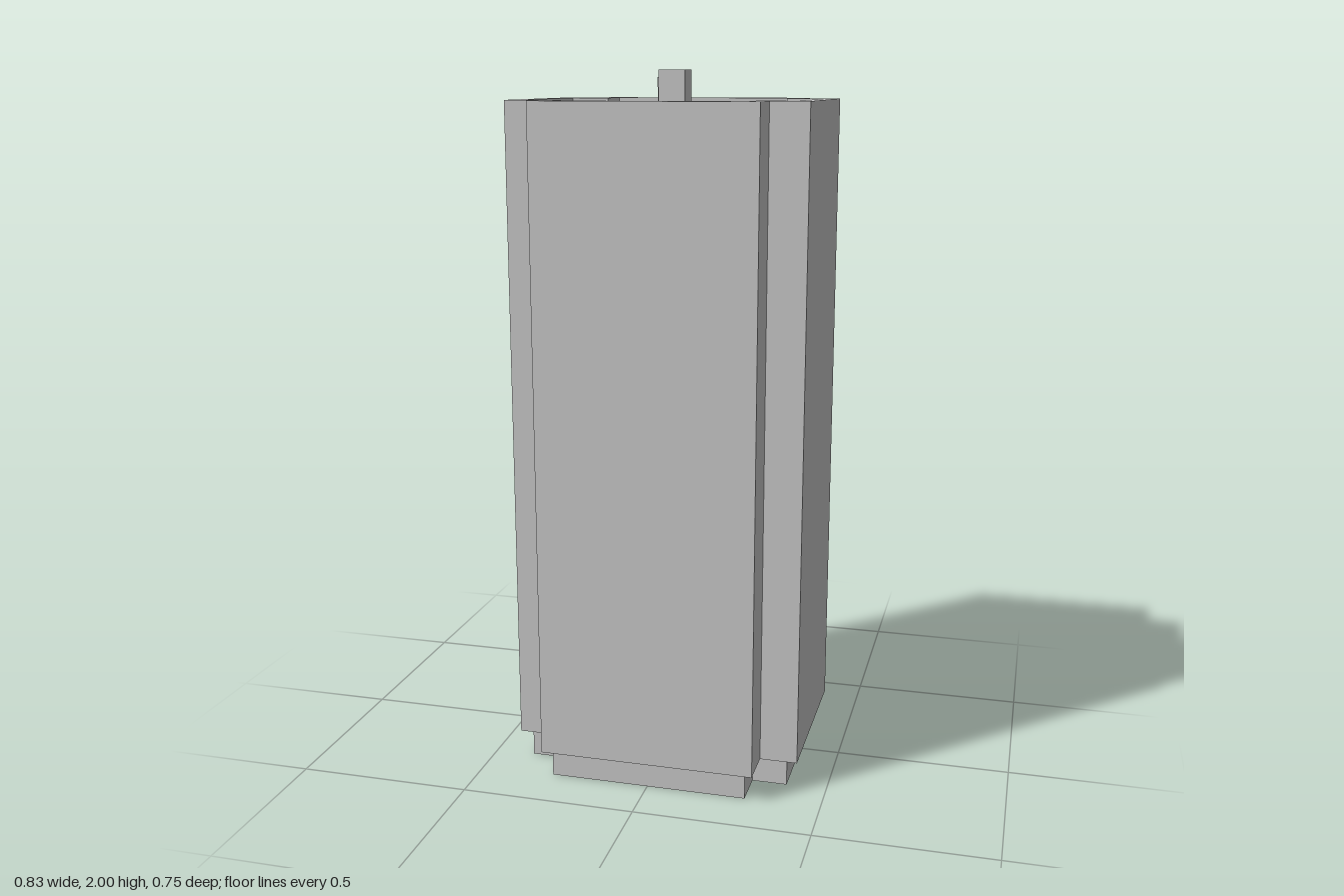
import * as THREE from 'three';

const material = new THREE.MeshStandardMaterial({ color: 0xcccccc, flatShading: true });
const doubleSided = new THREE.MeshStandardMaterial({ color: 0xcccccc, flatShading: true, side: THREE.DoubleSide });

// Cross-shaped floor plan: outer half sizes (x, z) and the notch corner (nx, nz)
function plan({ x, z, nx, nz }) {
  const quarter = [[x, nz], [nx, nz], [nx, z]];
  const mirrored = [...quarter].reverse();
  return [
    ...quarter,
    ...mirrored.map(([a, b]) => [-a, b]),
    ...quarter.map(([a, b]) => [-a, -b]),
    ...mirrored.map(([a, b]) => [a, -b]),
  ].map(([a, b]) => new THREE.Vector2(a, b));
}

// Upright hollow tower section between two heights
function ring(name, outer, inner, y0, y1) {
  const shape = new THREE.Shape(plan(outer));
  shape.holes.push(new THREE.Path(plan(inner)));
  const geometry = new THREE.ExtrudeGeometry(shape, { depth: y1 - y0, bevelEnabled: false });
  geometry.rotateX(-Math.PI / 2).translate(0, y0, 0);
  return named(name, geometry);
}

function named(name, geometry, mat = material) {
  const mesh = new THREE.Mesh(geometry, mat);
  mesh.name = name;
  return mesh;
}

function box(name, x0, x1, y0, y1, z0, z1) {
  const geometry = new THREE.BoxGeometry(x1 - x0, y1 - y0, z1 - z0);
  geometry.translate((x0 + x1) / 2, (y0 + y1) / 2, (z0 + z1) / 2);
  return named(name, geometry);
}

// Doorway arch: a wall in the zy plane with a door gap, extruded along x
function arch(name, x0, x1, y0, y1, z0, z1, doorZ0, doorZ1, doorY) {
  const points = [[z0, y0], [doorZ0, y0], [doorZ0, doorY], [doorZ1, doorY], [doorZ1, y0], [z1, y0], [z1, y1], [z0, y1]];
  const shape = new THREE.Shape(points.map(([z, y]) => new THREE.Vector2(-z, y)));
  const geometry = new THREE.ExtrudeGeometry(shape, { depth: x1 - x0, bevelEnabled: false });
  geometry.rotateY(Math.PI / 2).translate(x0, 0, 0);
  return named(name, geometry);
}

export function createModel() {
  const model = new THREE.Group();
  model.name = 'towerBlock';

  const outer = { x: 0.417, z: 0.374, nx: 0.31, nz: 0.256 };
  const base = { x: 0.385, z: 0.348, nx: 0.285, nz: 0.237 };
  const baseInside = { x: 0.381, z: 0.344, nx: 0.281, nz: 0.233 };
  const roofInside = { x: 0.38, z: 0.33, nx: 0.27, nz: 0.212 };
  const bottom = 0.08, deck = 1.88, top = 1.92;

  // Recessed open base, hollow tower walls and parapet
  model.add(ring('base', base, baseInside, 0, bottom));
  model.add(ring('towerWalls', outer, baseInside, bottom, deck));
  model.add(ring('parapet', outer, roofInside, deck, top));

  // Sunken roof deck
  const deckGeometry = new THREE.ShapeGeometry(new THREE.Shape(plan(roofInside)));
  deckGeometry.rotateX(-Math.PI / 2).translate(0, deck, 0);
  model.add(named('roofDeck', deckGeometry, doubleSided));

  // Low roof hatches along the front edge
  for (const x of [-0.138, 0.033]) {
    model.add(box('roofHatch', x, x + 0.152, deck, deck + 0.02, 0.203, 0.302));
  }

  // Roof access hut with a framed doorway on its side
  const hut = new THREE.Group();
  hut.name = 'roofHut';
  hut.add(arch('hutWalls', -0.038, 0.03, deck, 2, -0.008, 0.066, 0.008, 0.05, 1.97));
  hut.add(box('hutBackWall', 0.03, 0.037, deck, 2, -0.008, 0.066));
  hut.add(arch('doorFrame', -0.042, -0.038, deck, 1.98, 0, 0.058, 0.008, 0.05, 1.97));
  model.add(hut);

  return model;
}
